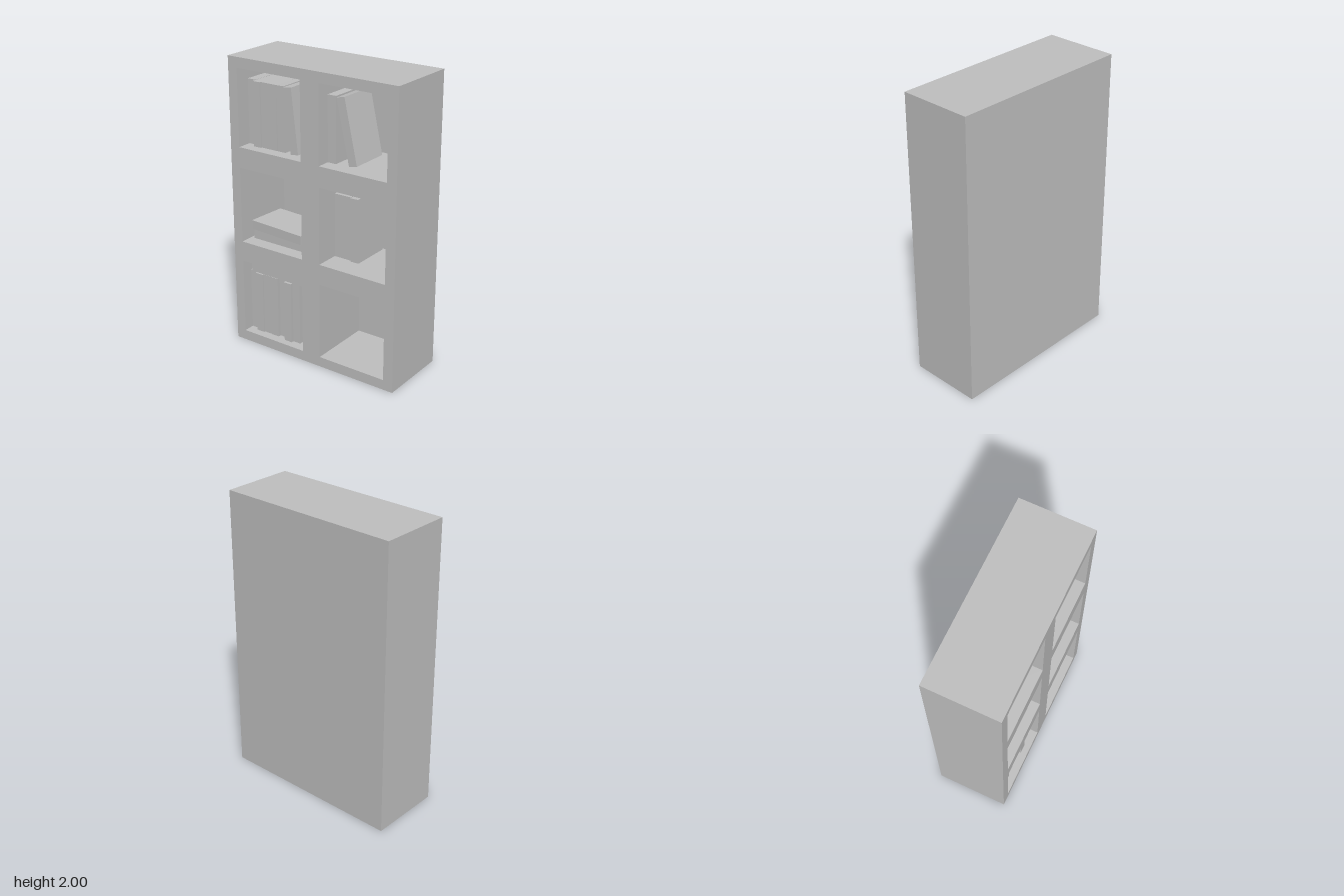
import * as THREE from 'three';

const grey = new THREE.MeshStandardMaterial({ color: 0xc0c0c0 });
grey.name = 'plain grey';

const THICK = 0.06, TALL = 0.435, DEEP = 0.28;

function rectPath(Type, x0, y0, x1, y1) {
  const p = new Type();
  p.moveTo(x0, y0);
  p.lineTo(x1, y0);
  p.lineTo(x1, y1);
  p.lineTo(x0, y1);
  p.closePath();
  return p;
}

// Box given by its centre in x and y and the z of its front face
function addBox(parent, name, w, h, d, x, y, front) {
  const mesh = new THREE.Mesh(new THREE.BoxGeometry(w, h, d), grey);
  mesh.name = name;
  mesh.position.set(x, y, front - d / 2);
  parent.add(mesh);
  return mesh;
}

export function createModel() {
  const model = new THREE.Group();
  model.name = 'bookcase';

  // Frame with six open cells, closed by a back panel
  const shelves = [[0.07, 0.6], [0.74, 1.265], [1.405, 1.93]];
  const outline = rectPath(THREE.Shape, -0.64, 0, 0.64, 2);
  for (const [y0, y1] of shelves) {
    outline.holes.push(rectPath(THREE.Path, -0.57, y0, -0.07, y1));
    outline.holes.push(rectPath(THREE.Path, 0.07, y0, 0.57, y1));
  }
  const frame = new THREE.Mesh(
    new THREE.ExtrudeGeometry(outline, { depth: 0.455, bevelEnabled: false }), grey);
  frame.name = 'frame';
  frame.position.z = -0.205;
  model.add(frame);
  addBox(model, 'backPanel', 1.28, 2, 0.045, 0, 1, -0.205);

  const books = new THREE.Group();
  books.name = 'books';
  model.add(books);

  // Upright books: left edge, right edge, shelf height, front z
  const upright = [
    [-0.57, -0.507, 1.405, 0.145], [-0.503, -0.445, 1.405, 0.18],
    [-0.445, -0.382, 1.405, 0.17], [-0.382, -0.321, 1.405, 0.17],
    [0.07, 0.133, 1.405, 0.155],
    [0.07, 0.132, 0.74, 0.08], [0.132, 0.193, 0.74, 0.08],
    [-0.567, -0.505, 0.073, 0.175], [-0.505, -0.445, 0.073, 0.2],
    [-0.445, -0.382, 0.073, 0.19], [-0.382, -0.322, 0.073, 0.192],
    [-0.322, -0.26, 0.073, 0.17], [-0.26, -0.2, 0.073, 0.205],
    [-0.2, -0.142, 0.073, 0.186],
  ];
  for (const [x0, x1, y, z] of upright)
    addBox(books, 'uprightBook', x1 - x0, TALL, DEEP, (x0 + x1) / 2, y + TALL / 2, z);

  // Leaning books: centre x, centre y, front z, tilt
  const leaning = [
    [-0.286, 1.623, 0.17, 0.02],
    [-0.2025, 1.624, 0.175, 0.115],
    [0.2125, 1.625, 0.155, 0.22],
    [0.23, 0.958, 0.092, 0.02],
  ];
  for (const [x, y, z, tilt] of leaning)
    addBox(books, 'leaningBook', THICK, TALL, DEEP, x, y, z).rotation.z = tilt;

  // Lying books
  addBox(books, 'lyingBook', 0.425, 0.062, DEEP, -0.333, 0.771, 0.155);
  addBox(books, 'turnedBook', 0.435, 0.063, DEEP, -0.335, 0.8335, 0.17).rotation.y = -0.07;
  addBox(books, 'lyingBook', 0.425, 0.061, DEEP, -0.333, 0.5385, 0.188);

  return model;
}
